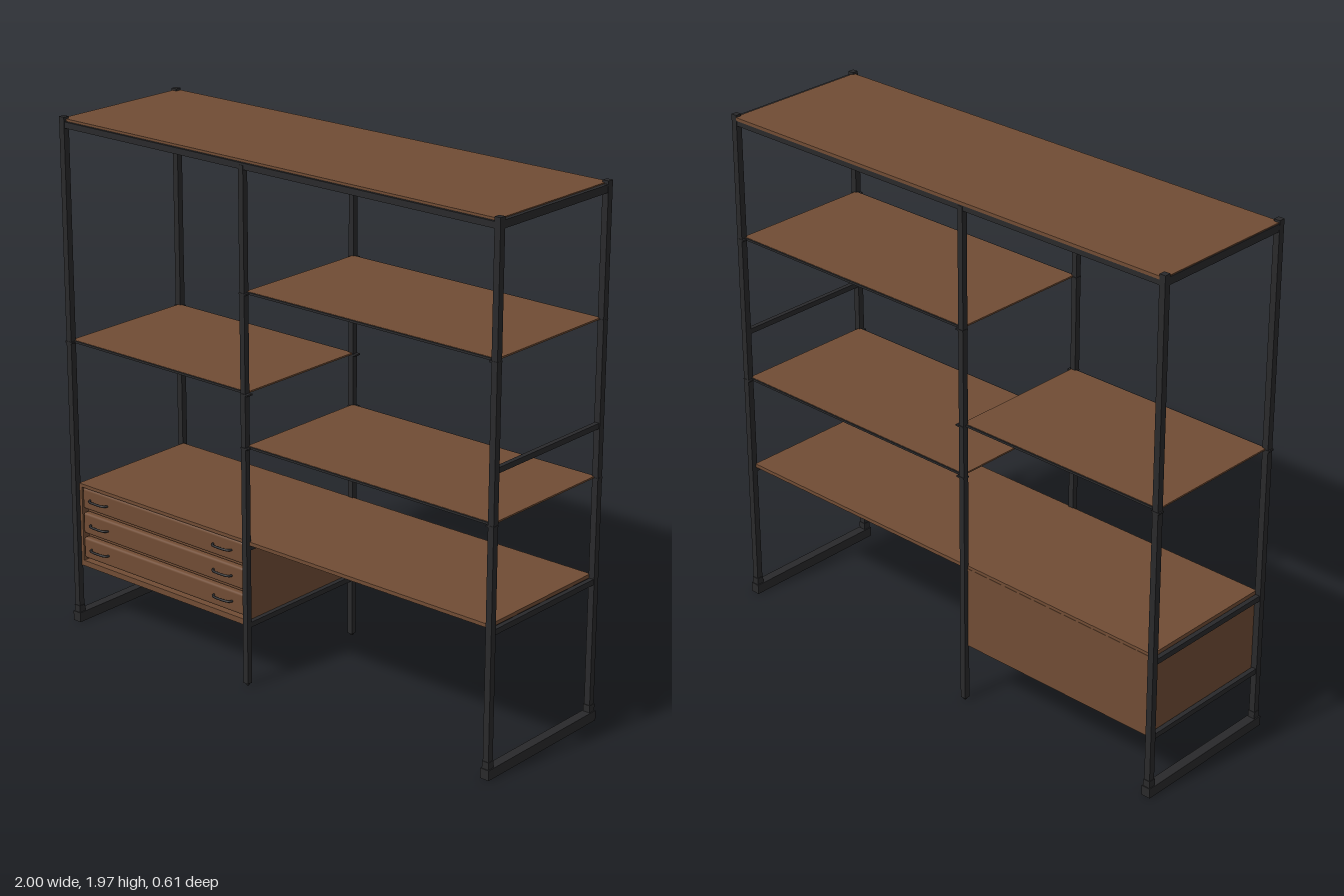
import * as THREE from 'three';
import { RoundedBoxGeometry } from 'three/addons/geometries/RoundedBoxGeometry.js';

export function createModel() {
  const model = new THREE.Group();
  model.name = 'shelvingUnit';
  const wood = new THREE.MeshStandardMaterial({ color: 0x704c34 });
  wood.name = 'walnut wood';
  const metal = new THREE.MeshStandardMaterial({ color: 0x29292b });
  metal.name = 'black metal';

  const add = (parent, name, geometry, material) => {
    const mesh = new THREE.Mesh(geometry, material);
    mesh.name = name;
    parent.add(mesh);
    return mesh;
  };
  // Box given by its lower and upper limit on each axis
  const box = (parent, name, material, [x0, x1], [y0, y1], [z0, z1]) =>
    add(parent, name, new THREE.BoxGeometry(x1 - x0, y1 - y0, z1 - z0), material)
      .position.set((x0 + x1) / 2, (y0 + y1) / 2, (z0 + z1) / 2);
  const around = (c, size) => [c - size / 2, c + size / 2];
  const group = (name) => {
    const g = new THREE.Group();
    g.name = name;
    model.add(g);
    return g;
  };

  const END = 0.982, MID = -0.115, POST_Z = 0.288;
  const between = [-POST_Z + 0.011, POST_Z - 0.011];

  // Upright frame
  const frame = group('frame');
  for (const sx of [-1, 1]) {
    for (const sz of [-1, 1]) {
      box(frame, 'cornerPost', metal, around(sx * END, 0.024), [0.02, 1.965], around(sz * POST_Z, 0.024));
      box(frame, 'footSleeve', metal, around(sx * END, 0.028), [0.03, 0.065], around(sz * POST_Z, 0.028));
    }
    box(frame, 'footBar', metal, around(sx * END, 0.036), [0, 0.038], [-0.305, 0.305]);
    box(frame, 'topEndRail', metal, around(sx * END, 0.022), [1.925, 1.953], between);
  }
  for (const sz of [-1, 1]) {
    box(frame, 'middlePost', metal, around(MID, 0.022), [0.008, 1.94], around(sz * POST_Z, 0.022));
    const tip = add(frame, 'middleFoot', new THREE.CylinderGeometry(0.009, 0.006, 0.012, 12), metal);
    tip.position.set(MID, 0.006, sz * POST_Z);
    box(frame, 'topLongRail', metal, [-END, END], [1.925, 1.948], around(sz * POST_Z, 0.02));
  }
  box(frame, 'topCrossRail', metal, around(MID, 0.02), [1.928, 1.944], between);
  box(frame, 'endCrossBar', metal, around(END, 0.018), [1.1, 1.12], between);
  for (const x of [-END, MID, END]) {
    box(frame, 'supportRail', metal, around(x, 0.018), [0.525, 0.546], between);
    if (x < END) box(frame, 'lowerSupportRail', metal, around(x, 0.018), [0.226, 0.246], between);
  }

  // Top board
  box(model, 'topBoard', wood, [-0.99, 0.978], [1.945, 1.957], [-0.3, 0.288]);

  // Thin shelves with metal edges, and ribs under the right-hand pair
  const shelf = (name, x0, x1, y, ribs) => {
    const g = group(name);
    box(g, 'shelfPanel', wood, [x0, x1], [y, y + 0.006], [-0.281, 0.281]);
    for (const sz of [-1, 1]) {
      box(g, 'shelfEdge', metal, [x0, x1], [y - 0.003, y + 0.005], around(sz * 0.283, 0.006));
      for (const x of [x0, x1]) {
        box(g, 'shelfPin', metal, around(x, 0.034), [y - 0.004, y + 0.002], around(sz * POST_Z, 0.026));
      }
    }
    for (let i = 0; i < ribs; i++) {
      const x = x0 + (x1 - x0) * (i + 0.5) / ribs;
      box(g, 'shelfRib', metal, around(x, 0.016), [y - 0.006, y], [-0.276, 0.276]);
    }
  };
  shelf('leftShelf', -0.982, -0.108, 1.118, 0);
  shelf('upperRightShelf', -0.11, 0.978, 1.485, 8);
  shelf('lowerRightShelf', -0.11, 0.978, 0.918, 8);

  // Low wooden board beside the drawers
  box(model, 'lowBoard', wood, [-0.104, 0.972], [0.546, 0.56], [-0.283, 0.283]);

  // Drawer cabinet
  const cabinet = group('drawerCabinet');
  const X0 = -0.97, X1 = -0.126, depth = [-0.281, 0.281];
  box(cabinet, 'cabinetTop', wood, [X0 - 0.002, -0.104], [0.547, 0.56], depth);
  box(cabinet, 'cabinetBottom', wood, [X0, X1], [0.228, 0.25], depth);
  box(cabinet, 'cabinetBack', wood, [X0, X1], [0.228, 0.548], [-0.282, -0.268]);
  for (const x of [X0, X1 - 0.012]) {
    box(cabinet, 'cabinetSide', wood, [x, x + 0.012], [0.228, 0.548], depth);
  }
  box(cabinet, 'drawerRecess', wood, [X0 + 0.01, X1 - 0.01], [0.245, 0.55], [0.235, 0.25]);
  box(cabinet, 'undersideBeam', metal, [X0, X1], [0.219, 0.229], around(-0.02, 0.026));

  // Three drawers with two bowed pulls each
  for (const y of [0.304, 0.404, 0.504]) {
    add(cabinet, 'drawerFront', new RoundedBoxGeometry(0.816, 0.084, 0.03, 3, 0.01), wood)
      .position.set((X0 + X1) / 2, y, 0.266);
    for (const x of [-0.87, -0.24]) {
      const path = new THREE.CatmullRomCurve3([
        new THREE.Vector3(-0.046, 0, 0.278), new THREE.Vector3(-0.038, 0, 0.293),
        new THREE.Vector3(0, 0, 0.298), new THREE.Vector3(0.038, 0, 0.293),
        new THREE.Vector3(0.046, 0, 0.278),
      ]);
      add(cabinet, 'drawerPull', new THREE.TubeGeometry(path, 16, 0.0045, 8), metal).position.set(x, y, 0);
    }
  }
  return model;
}
